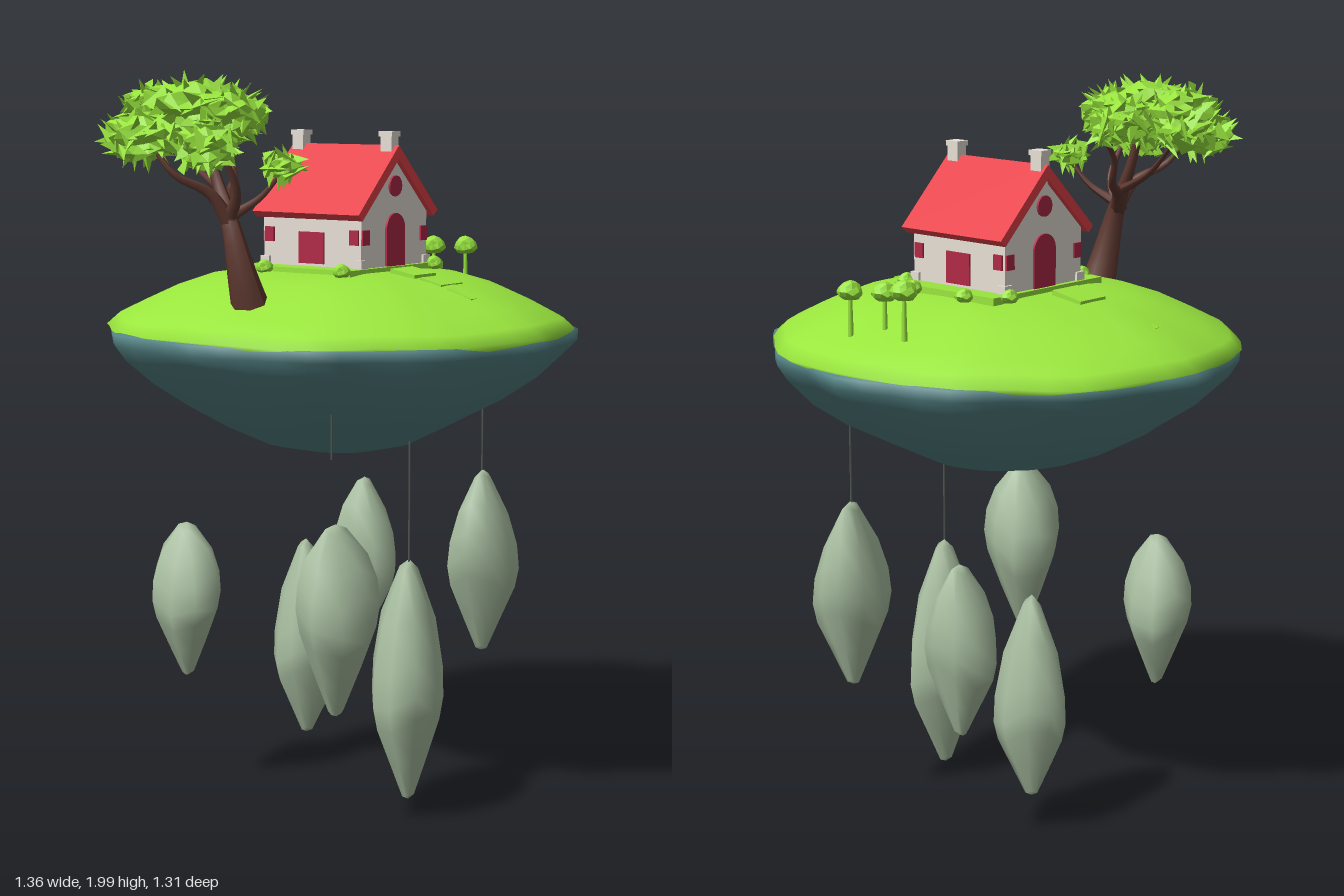
import * as THREE from 'three';
import { mergeVertices, mergeGeometries } from 'three/addons/utils/BufferGeometryUtils.js';

const paint = (name, color) => {
  const m = new THREE.MeshStandardMaterial({ color });
  m.name = name;
  return m;
};

export function createModel() {
  const model = new THREE.Group();
  model.name = 'floatingIsland';
  const grass = paint('grass green', 0x9ae63e);
  const leaf = paint('leaf green', 0x98e43e);
  leaf.flatShading = true;
  const cliff = paint('teal rock', 0x558486);
  const stone = paint('sage stone', 0xa9bfa1);
  const white = paint('plaster', 0xefe7dd);
  const red = paint('roof red', 0xe8434a);
  const crimson = paint('door crimson', 0xb02a46);
  const bark = paint('bark', 0x5e382f);
  const rope = paint('rope grey', 0x505852);

  let seed = 7;
  const rand = () => (seed = (seed * 16807) % 2147483647) / 2147483647;

  const add = (parent, name, geo, mat, x = 0, y = 0, z = 0) => {
    const m = new THREE.Mesh(geo, mat);
    m.name = name;
    m.position.set(x, y, z);
    parent.add(m);
    return m;
  };
  const box = (parent, name, w, h, d, mat, x, y, z) => add(parent, name, new THREE.BoxGeometry(w, h, d), mat, x, y, z);

  // Lathe whose vertices are moved by a rule, with smooth normals across the seam
  const roughLathe = (profile, segs, rule) => {
    let g = new THREE.LatheGeometry(profile.map(p => new THREE.Vector2(p[0], p[1])), segs);
    const p = g.attributes.position, v = new THREE.Vector3();
    for (let i = 0; i < p.count; i++) {
      v.fromBufferAttribute(p, i);
      rule(v, Math.atan2(v.x, v.z));
      p.setXYZ(i, v.x, v.y, v.z);
    }
    g.deleteAttribute('uv');
    g.deleteAttribute('normal');
    g = mergeVertices(g, 1e-4);
    g.computeVertexNormals();
    return g;
  };

  // Island: rocky underside with a lobed rim, and grassy dome
  const island = new THREE.Group();
  island.name = 'island';
  island.position.x = 0.05;
  model.add(island);
  const under = [[0, 0.953], [0.1, 0.96], [0.21, 0.985], [0.33, 1.04], [0.44, 1.1], [0.53, 1.165], [0.6, 1.235], [0.628, 1.27], [0.63, 1.3], [0.6, 1.31]];
  add(island, 'rockUnderside', roughLathe(under, 48, (v, a) => {
    const rim = Math.min(1, Math.hypot(v.x, v.z) / 0.6);
    const k = 1 + rim * (0.02 * Math.cos(12 * a) + 0.012 * Math.sin(5 * a + 9 * v.y)) + 0.015 * Math.cos(2 * a);
    v.x *= k;
    v.z *= k;
    if (v.y < 1.25) v.y += 0.01 * Math.sin(9 * v.x + 4) * Math.sin(13 * v.z + 2 * v.x) * rim;
  }), cliff);
  const dome = [[0.615, 1.285], [0.632, 1.305], [0.6, 1.335], [0.53, 1.37], [0.44, 1.408], [0.34, 1.44], [0.22, 1.458], [0, 1.465]];
  add(island, 'grassDome', roughLathe(dome, 48, (v, a) => {
    const k = 1 + 0.01 * Math.cos(12 * a) + 0.006 * Math.sin(5 * a) + 0.024 * Math.cos(2 * a);
    v.x *= k;
    v.z *= k;
    v.y += 0.006 * Math.sin(11 * v.x + 1) * Math.cos(12 * v.z) * Math.min(1, Math.hypot(v.x, v.z) * 2);
  }), grass);

  // Lawn slab, stepping plates before and behind the house
  box(model, 'lawnSlab', 0.43, 0.02, 0.36, grass, 0.075, 1.46, 0);
  for (const [z, y, d] of [[0.25, 1.453, 0.08], [0.34, 1.433, 0.07], [0.43, 1.405, 0.08], [0.505, 1.373, 0.07], [-0.26, 1.451, 0.1], [-0.45, 1.396, 0.08]]) {
    const s = box(model, 'steppingPlate', 0.1, 0.02, d, grass, 0.048, y, z);
    s.rotation.x = z * 0.7;
  }

  // Cottage
  const house = new THREE.Group();
  house.name = 'house';
  house.position.set(0.08, 0, 0);
  model.add(house);
  const extrude = (pts, depth) => {
    const g = new THREE.ExtrudeGeometry(new THREE.Shape(pts.map(p => new THREE.Vector2(p[0], p[1]))), { depth, bevelEnabled: false });
    return g.translate(0, 0, -depth / 2);
  };
  add(house, 'walls', extrude([[-0.15, 1.44], [0.15, 1.44], [0.15, 1.615], [0, 1.765], [-0.15, 1.615]], 0.33), white);
  add(house, 'roof', extrude([[-0.182, 1.614], [-0.164, 1.598], [0, 1.757], [0.164, 1.598], [0.182, 1.614], [0, 1.794]], 0.36), red);
  for (const z of [0.148, -0.152]) {
    box(house, 'chimney', 0.034, 0.08, 0.036, white, 0, 1.785, z);
    box(house, 'chimneyCap', 0.04, 0.014, 0.044, white, 0, 1.824, z);
  }
  for (const s of [1, -1]) {
    // Arched door, round gable window and corner windows on both ends
    const arch = new THREE.Shape();
    arch.moveTo(-0.042, 1.47);
    arch.lineTo(0.042, 1.47);
    arch.lineTo(0.042, 1.57);
    arch.absarc(0, 1.57, 0.042, 0, Math.PI, false);
    const doorGeo = new THREE.ExtrudeGeometry(arch, { depth: 0.008, bevelEnabled: false });
    add(house, 'door', doorGeo, crimson, 0, 0, s > 0 ? 0.163 : -0.171);
    const w = add(house, 'roundWindow', new THREE.CylinderGeometry(0.028, 0.028, 0.008, 16), crimson, 0, 1.685, s * 0.167);
    w.rotation.x = Math.PI / 2;
    for (const t of [1, -1]) {
      box(house, 'endWindow', 0.03, 0.04, 0.008, crimson, t * 0.133, 1.552, s * 0.166);
      box(house, 'sideWindow', 0.008, 0.04, 0.03, crimson, s * 0.151, 1.552, t * 0.143);
      box(house, 'cornerStone', 0.03, 0.035, 0.03, white, s * 0.143, 1.475, t * 0.157);
    }
    box(house, 'wideSideWindow', 0.008, 0.085, 0.085, crimson, s * 0.151, 1.52, 0);
  }

  // Faceted blob, optionally bristling with broad leaves
  const foliage = (r, rough, leaves) => {
    const g = new THREE.IcosahedronGeometry(1, leaves ? 2 : 1);
    g.deleteAttribute('uv');
    const p = g.attributes.position, v = new THREE.Vector3();
    for (let i = 0; i < p.count; i++) {
      v.fromBufferAttribute(p, i);
      const n = Math.sin(v.x * 12.9 + v.y * 47.3 + v.z * 31.7) * Math.cos(v.z * 23.1 - v.y * 9.4);
      v.multiplyScalar(0.95 + rough * n).multiply(r);
      p.setXYZ(i, v.x, v.y, v.z);
    }
    const parts = [g];
    const up = new THREE.Vector3(0, 1, 0);
    for (let i = 0; i < leaves; i++) {
      const y = 1 - 2 * (i + 0.5) / leaves, a = i * 2.4, q = Math.sqrt(1 - y * y);
      const dir = new THREE.Vector3(q * Math.cos(a), y, q * Math.sin(a));
      const c = new THREE.ConeGeometry(0.028, 0.055 + 0.03 * rand(), 3).toNonIndexed();
      c.deleteAttribute('uv');
      const tilt = dir.clone().add(new THREE.Vector3(rand() - 0.5, rand() - 0.5, rand() - 0.5).multiplyScalar(1.8)).normalize();
      c.scale(1, 1, 0.5).rotateY(a).applyQuaternion(new THREE.Quaternion().setFromUnitVectors(up, tilt));
      const at = dir.multiply(r).multiplyScalar(0.93);
      parts.push(c.translate(at.x, at.y, at.z));
    }
    const out = mergeGeometries(parts);
    out.computeVertexNormals();
    return out;
  };

  // Tree: tapered trunk, branches and leaf clusters
  const tree = new THREE.Group();
  tree.name = 'tree';
  model.add(tree);
  const limb = (name, pts, r0, r1) => {
    const curve = new THREE.CatmullRomCurve3(pts.map(p => new THREE.Vector3(...p)));
    const g = new THREE.TubeGeometry(curve, 14, 1, 7);
    const p = g.attributes.position, v = new THREE.Vector3();
    for (let i = 0; i < p.count; i++) {
      const t = Math.floor(i / 8) / 14, c = curve.getPointAt(t);
      v.fromBufferAttribute(p, i).sub(c).multiplyScalar(r1 + (r0 - r1) * (1 - t) ** 1.8).add(c);
      p.setXYZ(i, v.x, v.y, v.z);
    }
    g.computeVertexNormals();
    add(tree, name, g, bark);
  };
  limb('trunk', [[-0.385, 1.36, 0.05], [-0.412, 1.46, 0.04], [-0.425, 1.6, 0.01], [-0.41, 1.72, -0.05], [-0.41, 1.88, -0.1]], 0.055, 0.01);
  limb('branch', [[-0.425, 1.6, 0.01], [-0.47, 1.68, -0.02], [-0.54, 1.73, -0.08], [-0.57, 1.82, -0.14]], 0.022, 0.007);
  limb('branch', [[-0.425, 1.61, 0], [-0.35, 1.66, -0.06], [-0.24, 1.71, -0.13], [-0.2, 1.78, -0.17], [-0.13, 1.85, -0.19]], 0.024, 0.007);
  limb('branch', [[-0.425, 1.62, 0.01], [-0.45, 1.69, 0.05], [-0.5, 1.8, 0.04]], 0.02, 0.007);
  limb('branch', [[-0.425, 1.62, 0.01], [-0.39, 1.67, 0.08], [-0.37, 1.73, 0.13]], 0.016, 0.006);
  limb('branch', [[-0.34, 1.67, -0.07], [-0.29, 1.74, -0.22], [-0.25, 1.83, -0.33]], 0.015, 0.006);
  const clusters = [
    [-0.42, 1.895, -0.1, 0.15, 0.07, 0.15, 75], [-0.56, 1.82, -0.17, 0.085, 0.06, 0.11, 50],
    [-0.54, 1.8, 0.03, 0.08, 0.055, 0.075, 40], [-0.4, 1.89, -0.24, 0.13, 0.06, 0.085, 55],
    [-0.25, 1.875, -0.16, 0.095, 0.055, 0.085, 45], [-0.24, 1.86, -0.34, 0.03, 0.04, 0.04, 14],
    [-0.13, 1.86, -0.19, 0.03, 0.035, 0.03, 12], [-0.37, 1.75, 0.14, 0.05, 0.03, 0.04, 16],
    [-0.43, 1.88, 0.03, 0.1, 0.06, 0.07, 40]];
  for (const [x, y, z, a, b, c, n] of clusters) add(tree, 'leafCluster', foliage(new THREE.Vector3(a, b, c), 0.2, n), leaf, x, y, z);

  // Three little trees and low shrubs
  for (const [x, y, z, r] of [[0.535, 1.515, -0.1, 0.037], [0.505, 1.495, 0, 0.035], [0.55, 1.495, 0.08, 0.035]]) {
    add(model, 'saplingStem', new THREE.CylinderGeometry(0.005, 0.008, 0.13, 6), grass, x, y - 0.065, z);
    add(model, 'saplingCrown', foliage(new THREE.Vector3(r, r * 0.8, r), 0.12, 0), leaf, x, y, z);
  }
  for (const [x, z] of [[0.31, 0.09], [0.31, -0.095], [-0.15, 0.16], [-0.15, -0.1], [0.24, 0.185], [0.24, -0.19]])
    add(model, 'shrub', foliage(new THREE.Vector3(0.026, 0.02, 0.024), 0.14, 0), leaf, x, 1.47, z);

  // Hanging stones: x, z, top, bottom, half width, half depth, height of widest point
  const stones = [
    [-0.335, 0.28, 0.835, 0.325, 0.122, 0.108, 0.52], [-0.225, -0.32, 0.755, 0.32, 0.095, 0.105, 0.5],
    [0.03, 0.255, 0.68, 0.005, 0.115, 0.098, 0.44], [0.185, -0.22, 0.655, 0.08, 0.09, 0.103, 0.42],
    [0.41, 0.24, 0.875, 0.35, 0.112, 0.092, 0.5], [0.455, -0.21, 0.8, 0.33, 0.088, 0.104, 0.5]];
  stones.forEach(([x, z, top, low, w, d, mid], n) => {
    const h = top - low;
    const prof = [[0, 0], [0.17, 0.02], [0.55, mid * 0.42], [0.9, mid * 0.78], [1, mid], [0.95, mid + 0.13], [0.72, mid + (1 - mid) * 0.58], [0.24, 0.965], [0, 1]];
    add(model, 'hangingStone', roughLathe(prof, 9, (v, a) => {
      const k = 1 + 0.07 * Math.sin(3 * a + n * 1.7) + 0.04 * Math.sin(2 * a + n + 5 * v.y);
      v.set(v.x * k * w, v.y * h + 0.035 * Math.sin(2 * a + n) * Math.hypot(v.x, v.z), v.z * k * d);
    }), stone, x, low, z);
  });

  // Ropes: x, z, bottom, top
  for (const [x, z, low, high] of [[-0.325, 0.26, 1, 1.12], [0.026, 0.258, 0.67, 1.03], [0.407, 0.24, 0.865, 1.1]])
    add(model, 'rope', new THREE.CylinderGeometry(0.003, 0.003, high - low, 5), rope, x, (low + high) / 2, z);
  return model;
}
